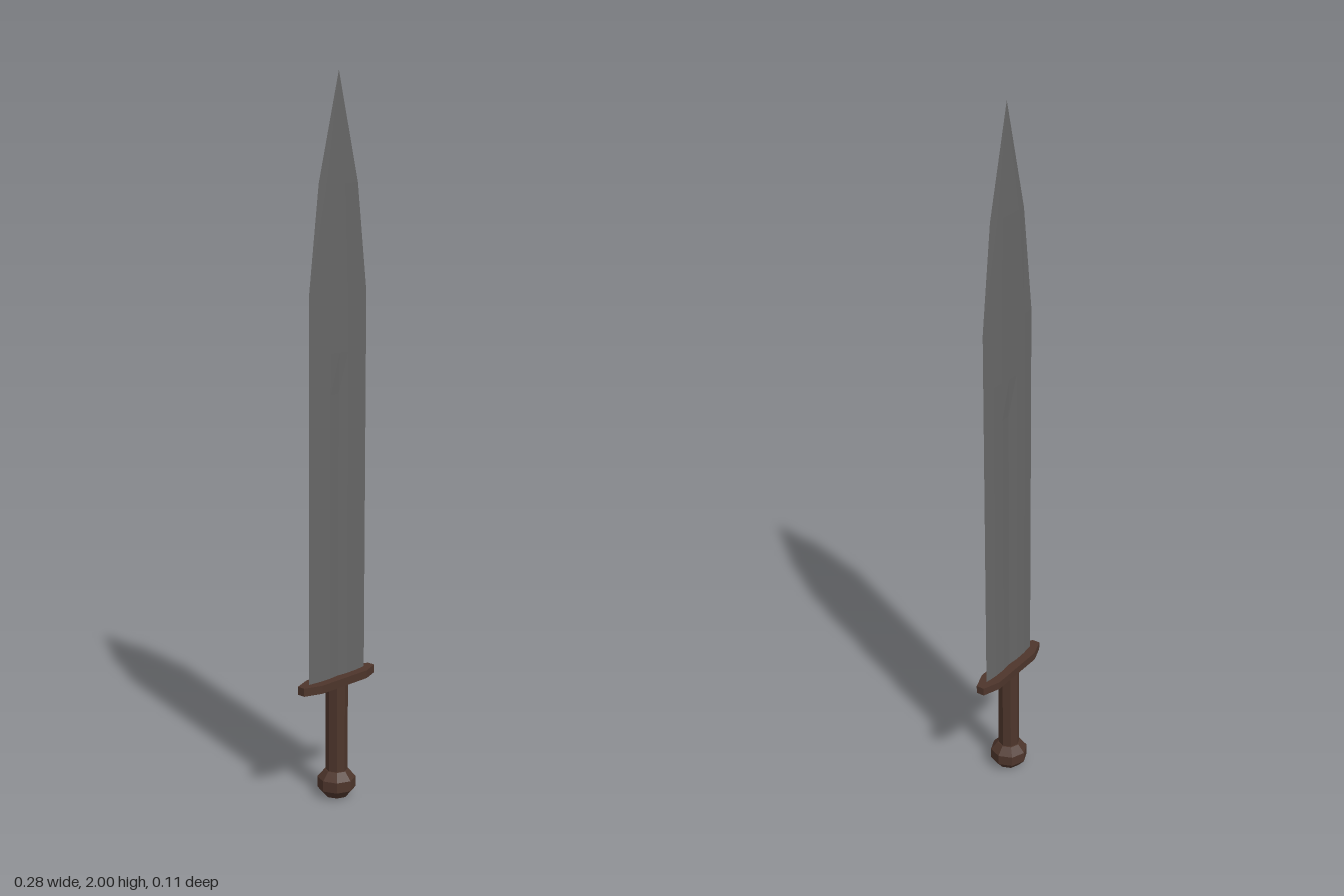
import * as THREE from 'three';

const steel = new THREE.MeshStandardMaterial({ color: 0x666666 });
steel.name = 'steel';
const leather = new THREE.MeshStandardMaterial({ color: 0x4d352b });
leather.name = 'brown leather';

// Gives a geometry faceted normals
function faceted(geometry) {
  const g = geometry.index ? geometry.toNonIndexed() : geometry;
  g.computeVertexNormals();
  return g;
}

// Blade lofted from cross-sections: [height, half width, ridge thickness, groove depth]
function bladeGeometry() {
  const rows = [
    [0.34, 0.111, 0.0055, 0.003],
    [1.15, 0.111, 0.0055, 0.003],
    [1.26, 0.111, 0.0055, 0],
    [1.42, 0.111, 0.005, 0],
    [1.71, 0.075, 0.004, 0],
    [2.0, 0, 0, 0],
  ];
  const across = [-1, -0.65, -0.3, 0, 0.3, 0.65, 1];
  const rings = rows.map(([y, w, ridge, groove]) => {
    const side = (sign) => across.map((u) => {
      const a = Math.abs(u);
      const z = a === 1 ? 0 : a > 0.5 ? ridge * 0.85 : a > 0 ? ridge : ridge - groove;
      return [u * w, y, sign * z];
    });
    return [...side(1).slice(0, -1), ...side(-1).reverse().slice(0, -1)];
  });
  const p = [];
  for (let j = 0; j < rings.length - 1; j++) {
    const low = rings[j], high = rings[j + 1], n = low.length;
    for (let i = 0; i < n; i++) {
      const k = (i + 1) % n;
      p.push(...low[i], ...low[k], ...high[k]);
      if (j < rings.length - 2) p.push(...low[i], ...high[k], ...high[i]);
    }
  }
  const g = new THREE.BufferGeometry();
  g.setAttribute('position', new THREE.Float32BufferAttribute(p, 3));
  return faceted(g);
}

// Flat crossguard with tapered ends
function guardGeometry() {
  const outline = [
    [-0.142, -0.012], [-0.09, -0.031], [0.09, -0.031], [0.142, -0.012],
    [0.142, 0.012], [0.09, 0.031], [-0.09, 0.031], [-0.142, 0.012],
  ].map(([x, y]) => new THREE.Vector2(x, y));
  const g = new THREE.ExtrudeGeometry(new THREE.Shape(outline), { depth: 0.023, bevelEnabled: false });
  return faceted(g.rotateX(-Math.PI / 2).translate(0, 0.331, 0));
}

// Eight-sided turned part
function turned(profile) {
  const points = profile.map(([r, y]) => new THREE.Vector2(r, y));
  return faceted(new THREE.LatheGeometry(points, 8));
}

export function createModel() {
  const model = new THREE.Group();
  model.name = 'sword';
  const add = (name, geometry, material) => {
    const mesh = new THREE.Mesh(geometry, material);
    mesh.name = name;
    model.add(mesh);
  };

  add('blade', bladeGeometry(), steel);
  add('guard', guardGeometry(), leather);
  add('grip', turned([[0.031, 0.07], [0.031, 0.335]]), leather);
  add('pommel', turned([
    [0, 0], [0.034, 0.003], [0.054, 0.026], [0.054, 0.056], [0.034, 0.079], [0, 0.081],
  ]), leather);

  // Slight lean of the whole sword
  model.rotation.z = -0.0048;
  model.position.x = -0.007;
  const root = new THREE.Group();
  root.name = 'swordRoot';
  root.add(model);
  return root;
}
